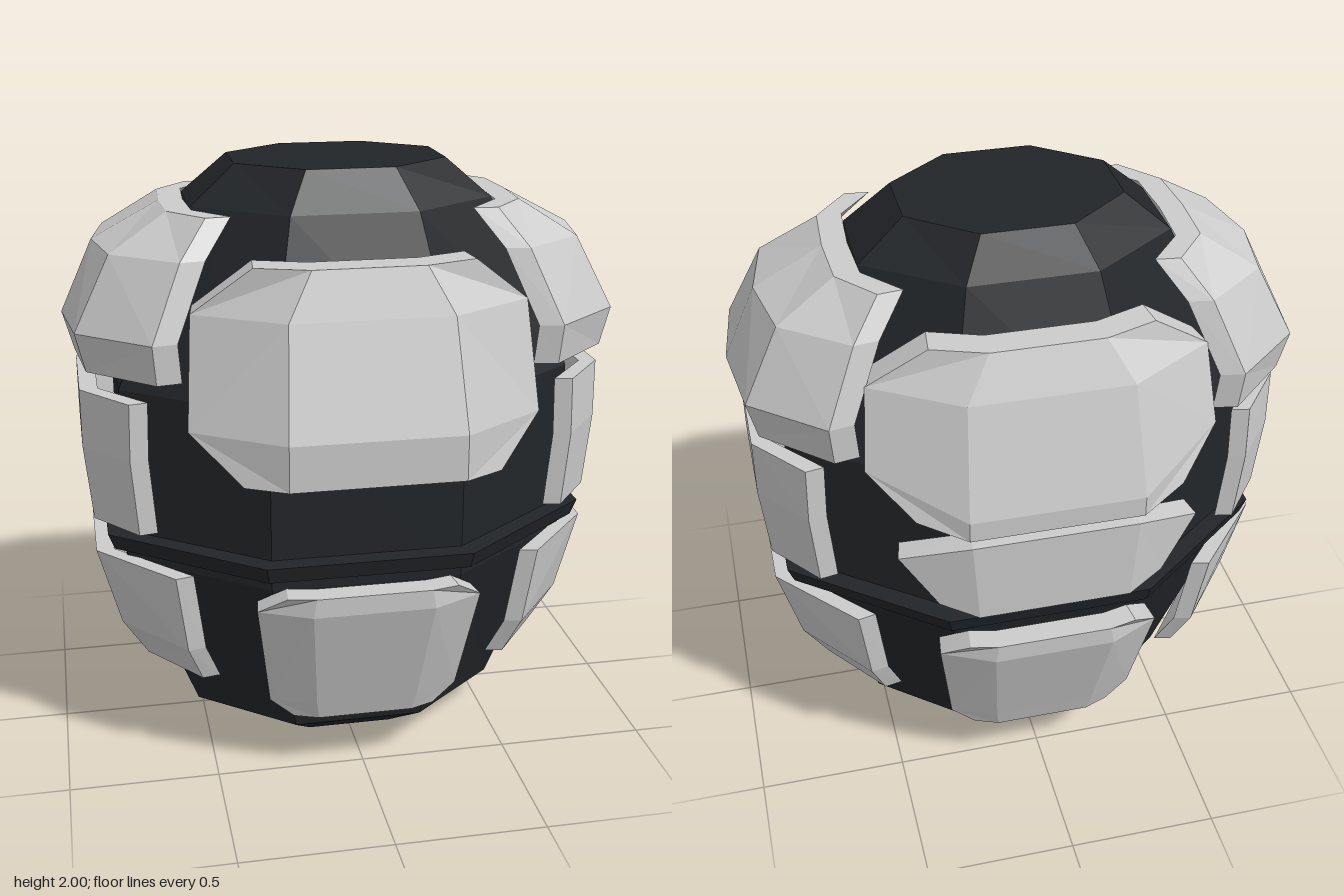
import * as THREE from 'three';

const plateMat = new THREE.MeshStandardMaterial({ color: 0xcccccc, flatShading: true });
const bodyMat = new THREE.MeshStandardMaterial({ color: 0x222528, flatShading: true });

// Eight-sided loft; profile rows are [half width x, half depth z, y], listed upward
function octagonLoft(name, profile) {
  const k = 1 / Math.cos(Math.PI / 8);
  const pts = profile.map(([x, , y]) => new THREE.Vector2(x * k, y));
  const geo = new THREE.LatheGeometry(pts, 8, Math.PI / 8);
  const pos = geo.attributes.position;
  for (let i = 0; i < pos.count; i++) {
    const [rx, rz] = profile[i % profile.length];
    if (rx > 0) pos.setZ(i, pos.getZ(i) * rz / rx);
  }
  const mesh = new THREE.Mesh(geo, bodyMat);
  mesh.name = name;
  return mesh;
}

// Thick armour plate facing +z. Each row (top to bottom) lists [across, y, depth]
// from the middle outwards and is mirrored about across = 0.
function plateGeometry(halfRows, thickness) {
  const outer = halfRows.map(row => [
    ...row.filter(p => p[0] > 0).map(([u, y, d]) => [-u, y, d]).reverse(), ...row]);
  const inner = outer.map(row => row.map(([u, y, d]) => [u * 0.97, y, d - thickness]));
  const R = outer.length - 1, C = outer[0].length - 1, verts = [];
  const quad = (a, b, c, d) => verts.push(...a, ...b, ...c, ...a, ...c, ...d);
  for (let r = 0; r < R; r++) for (let c = 0; c < C; c++) {
    const corners = g => [g[r][c], g[r + 1][c], g[r + 1][c + 1], g[r][c + 1]];
    const [a, b, e, f] = corners(outer);
    // diagonals mirrored between halves
    if ((c < C / 2) === (r < R / 2)) quad(b, e, f, a); else quad(a, b, e, f);
    const [p, q, s, t] = corners(inner);
    quad(t, s, q, p);
  }
  // Rim walls, walked counter-clockwise
  const rim = [];
  for (let r = 0; r < R; r++) rim.push([r, 0]);
  for (let c = 0; c < C; c++) rim.push([R, c]);
  for (let r = R; r > 0; r--) rim.push([r, C]);
  for (let c = C; c > 0; c--) rim.push([0, c]);
  rim.forEach(([r, c], i) => {
    const [r2, c2] = rim[(i + 1) % rim.length];
    quad(outer[r2][c2], outer[r][c], inner[r][c], inner[r2][c2]);
  });
  const geo = new THREE.BufferGeometry();
  geo.setAttribute('position', new THREE.Float32BufferAttribute(verts, 3));
  geo.computeVertexNormals();
  return geo;
}

export function createModel() {
  const model = new THREE.Group();
  model.name = 'armouredTorso';

  const addPlate = (name, geo, angle, z = 0) => {
    const mesh = new THREE.Mesh(geo, plateMat);
    mesh.name = name;
    mesh.rotation.y = angle;
    mesh.position.z = z;
    model.add(mesh);
  };

  // Dark core and waist band
  const core = octagonLoft('core', [
    [0, 0, 0], [0.35, 0.28, 0], [0.53, 0.435, 0.11], [0.76, 0.575, 0.7],
    [0.76, 0.575, 1.3], [0.5, 0.355, 1.87], [0.35, 0.28, 2], [0, 0, 2]]);
  const band = octagonLoft('waistBand', [
    [0.74, 0.55, 0.75], [0.8, 0.625, 0.75], [0.82, 0.64, 0.805], [0.74, 0.55, 0.805]]);
  core.position.z = band.position.z = -0.02;
  model.add(core, band);

  // Chest and upper back
  addPlate('chestPlate', plateGeometry([
    [[0.18, 1.75, 0.56], [0.35, 1.75, 0.5]],
    [[0.26, 1.6, 0.61], [0.54, 1.6, 0.44]],
    [[0.28, 1.25, 0.72], [0.565, 1.25, 0.53]],
    [[0.28, 1.1, 0.72], [0.41, 1.1, 0.65]]], 0.11), 0);
  addPlate('upperBackPlate', plateGeometry([
    [[0.18, 1.75, 0.56], [0.35, 1.75, 0.5]],
    [[0.26, 1.61, 0.62], [0.54, 1.62, 0.46]],
    [[0.28, 1.25, 0.72], [0.565, 1.36, 0.53]],
    [[0.28, 1.18, 0.72], [0.43, 1.22, 0.64]]], 0.1), Math.PI);

  // Lower back
  addPlate('lowerBackPlate', plateGeometry([
    [[0.27, 1.14, 0.71], [0.49, 1.07, 0.62]],
    [[0.25, 0.85, 0.71], [0.37, 0.89, 0.66]]], 0.08), Math.PI);

  // Belly and hip plates, front and back
  const belly = plateGeometry([
    [[0.19, 0.715, 0.7], [0.28, 0.715, 0.68]],
    [[0.2, 0.65, 0.7], [0.37, 0.65, 0.62]],
    [[0.17, 0.27, 0.58], [0.32, 0.27, 0.52]],
    [[0.16, 0.205, 0.56], [0.24, 0.205, 0.53]]], 0.08);
  addPlate('bellyPlate', belly, 0, -0.02);
  addPlate('hipBackPlate', belly, Math.PI, -0.02);

  // Side plates, shared by left and right
  const sides = {
    ShoulderPlate: plateGeometry([
      [[0, 1.87, 0.59], [0.2, 1.87, 0.58], [0.335, 1.87, 0.47]],
      [[0, 1.75, 0.815], [0.25, 1.75, 0.77], [0.41, 1.75, 0.56]],
      [[0, 1.51, 0.925], [0.29, 1.51, 0.89], [0.485, 1.51, 0.66]],
      [[0, 1.38, 0.89], [0.28, 1.38, 0.86], [0.475, 1.38, 0.65]]], 0.08),
    RibPlate: plateGeometry([
      [[0.195, 1.295, 0.885], [0.385, 1.295, 0.735]],
      [[0.2, 1.1, 0.885], [0.385, 1.1, 0.74]],
      [[0.195, 0.84, 0.86], [0.375, 0.84, 0.72]]], 0.06),
    HipPlate: plateGeometry([
      [[0.185, 0.715, 0.86], [0.465, 0.715, 0.615]],
      [[0.175, 0.435, 0.785], [0.435, 0.435, 0.58]],
      [[0.16, 0.3, 0.7], [0.385, 0.3, 0.53]]], 0.06),
  };
  for (const [part, geo] of Object.entries(sides)) {
    addPlate('left' + part, geo, Math.PI / 2, -0.02);
    addPlate('right' + part, geo, -Math.PI / 2, -0.02);
  }
  return model;
}
